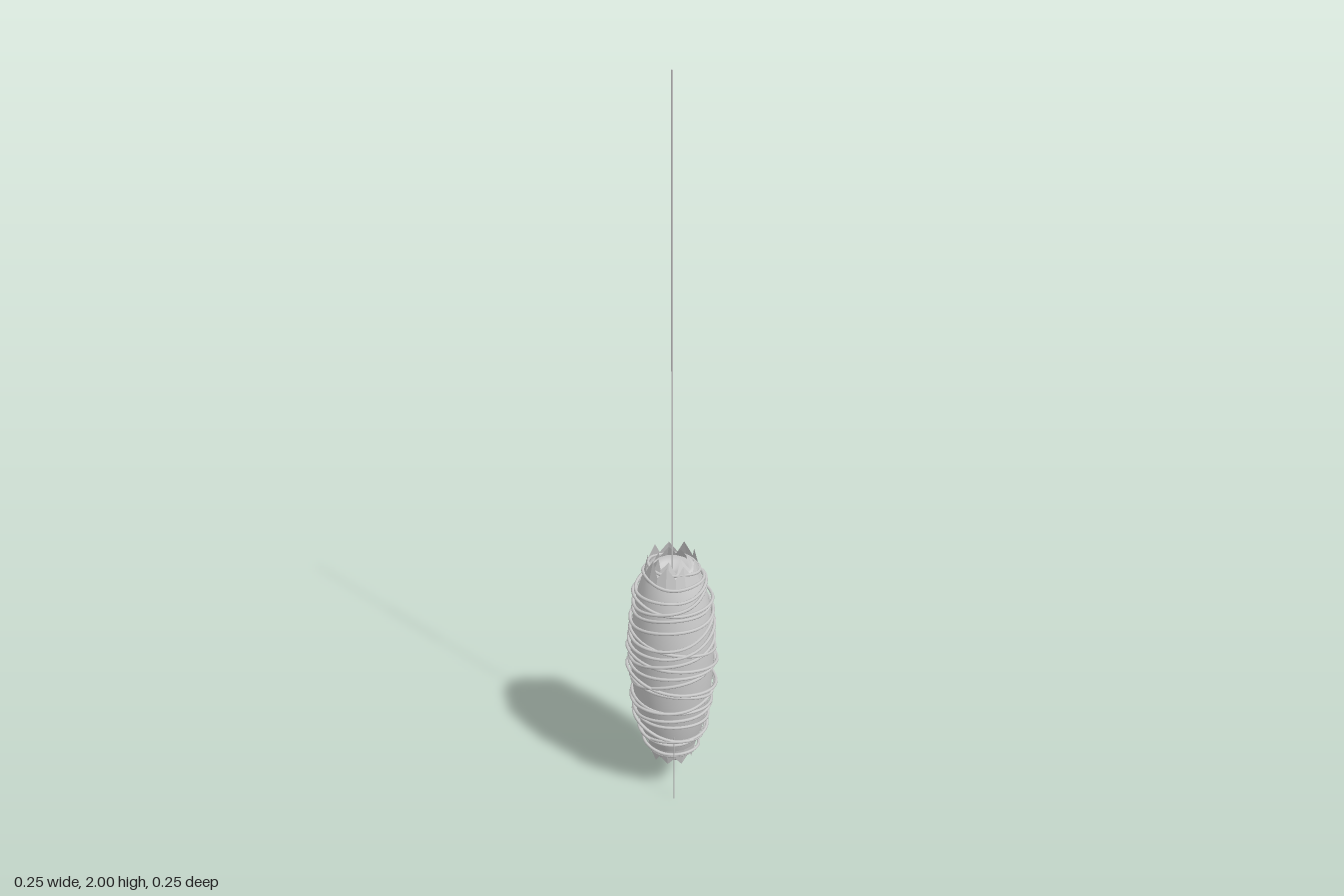
import * as THREE from 'three';

// Cocoon outline: [radius, height]
const OUTLINE = [
  [0.015, 0.085], [0.045, 0.1], [0.062, 0.13], [0.083, 0.19], [0.098, 0.26], [0.108, 0.34],
  [0.112, 0.42], [0.11, 0.5], [0.103, 0.57], [0.092, 0.63], [0.076, 0.68], [0.058, 0.71],
];

function radiusAt(y) {
  for (let i = 1; i < OUTLINE.length; i++) {
    const [r0, y0] = OUTLINE[i - 1], [r1, y1] = OUTLINE[i];
    if (y <= y1) return THREE.MathUtils.lerp(r0, r1, Math.max(0, (y - y0) / (y1 - y0)));
  }
  return 0.056;
}

function makeRandom(seed) {
  return () => {
    seed = (seed * 16807) % 2147483647;
    return seed / 2147483647;
  };
}

export function createModel() {
  const model = new THREE.Group();
  const random = makeRandom(421);
  const grey = new THREE.MeshStandardMaterial({ color: 0xcccccc });
  const faceted = new THREE.MeshStandardMaterial({ color: 0xcccccc, flatShading: true, side: THREE.DoubleSide });

  function add(name, geometry, material = grey, parent = model) {
    const mesh = new THREE.Mesh(geometry, material);
    mesh.name = name;
    parent.add(mesh);
    return mesh;
  }

  // Wrapped body with a shallow hollow at the top
  const profile = OUTLINE.map(([r, y]) => new THREE.Vector2(r, y));
  profile.unshift(new THREE.Vector2(0, 0.083));
  profile.push(new THREE.Vector2(0.035, 0.7), new THREE.Vector2(0, 0.685));
  add('body', new THREE.LatheGeometry(profile, 32));

  // Torn collars: open bands whose outer edge is cut into uneven teeth
  function collar(name, yBase, rBase, yTip, rTip, teeth) {
    const geometry = new THREE.CylinderGeometry(1, 1, 1, teeth * 2, 1, true);
    const p = geometry.attributes.position;
    const reach = Array.from({ length: teeth * 2 }, (_, i) => (i % 2 ? 0.3 : 0.8) + 0.2 * random());
    for (let i = 0; i < p.count; i++) {
      const column = i % (teeth * 2 + 1);
      const t = p.getY(i) > 0 ? reach[column % (teeth * 2)] : 0;
      const r = THREE.MathUtils.lerp(rBase, rTip, t);
      p.setXYZ(i, p.getX(i) * r, THREE.MathUtils.lerp(yBase, yTip, t), p.getZ(i) * r);
    }
    add(name, geometry, faceted);
  }
  collar('topOuterCollar', 0.68, 0.077, 0.75, 0.06, 9);
  collar('topInnerCollar', 0.69, 0.06, 0.745, 0.035, 7);
  collar('bottomOuterCollar', 0.15, 0.07, 0.09, 0.056, 9);
  collar('bottomInnerCollar', 0.11, 0.05, 0.077, 0.02, 7);

  // Rounded lump on the upper back
  const lump = add('lump', new THREE.SphereGeometry(0.065, 24, 16));
  lump.scale.y = 1.08;
  lump.position.set(-0.002, 0.605, -0.06);

  // Tilted, slightly wavy loops wound around the body
  const wraps = new THREE.Group();
  wraps.name = 'wraps';
  model.add(wraps);
  const loops = 25;
  for (let k = 0; k < loops; k++) {
    const y0 = 0.125 + (k / (loops - 1)) * 0.585 + (random() - 0.5) * 0.016;
    const tilt = (0.008 + 0.026 * random()) * Math.min(1, (y0 - 0.09) / 0.1, (0.74 - y0) / 0.1);
    const phase = random() * Math.PI * 2;
    const lift = 0.003 + 0.007 * random();
    const points = [];
    for (let i = 0; i < 32; i++) {
      const a = (i / 32) * Math.PI * 2;
      const y = y0 + tilt * Math.cos(a - phase) + 0.003 * Math.sin(3 * a + phase);
      const r = Math.min(0.122, radiusAt(y) + lift + 0.003 * Math.sin(2 * a + phase));
      points.push(new THREE.Vector3(Math.sin(a) * r, y, Math.cos(a) * r));
    }
    add('wrap', new THREE.TubeGeometry(new THREE.CatmullRomCurve3(points, true), 48, 0.0045, 6, true), grey, wraps);
  }

  // Long hanging thread
  const hanger = add('hangingThread', new THREE.CylinderGeometry(0.002, 0.002, 1.31, 6));
  hanger.position.y = 1.345;

  // Loose thread trailing below the front
  const tail = add('looseThread', new THREE.CylinderGeometry(0.0015, 0.0015, 0.36, 6));
  tail.position.set(0.024, 0.18, 0.083);

  return model;
}
